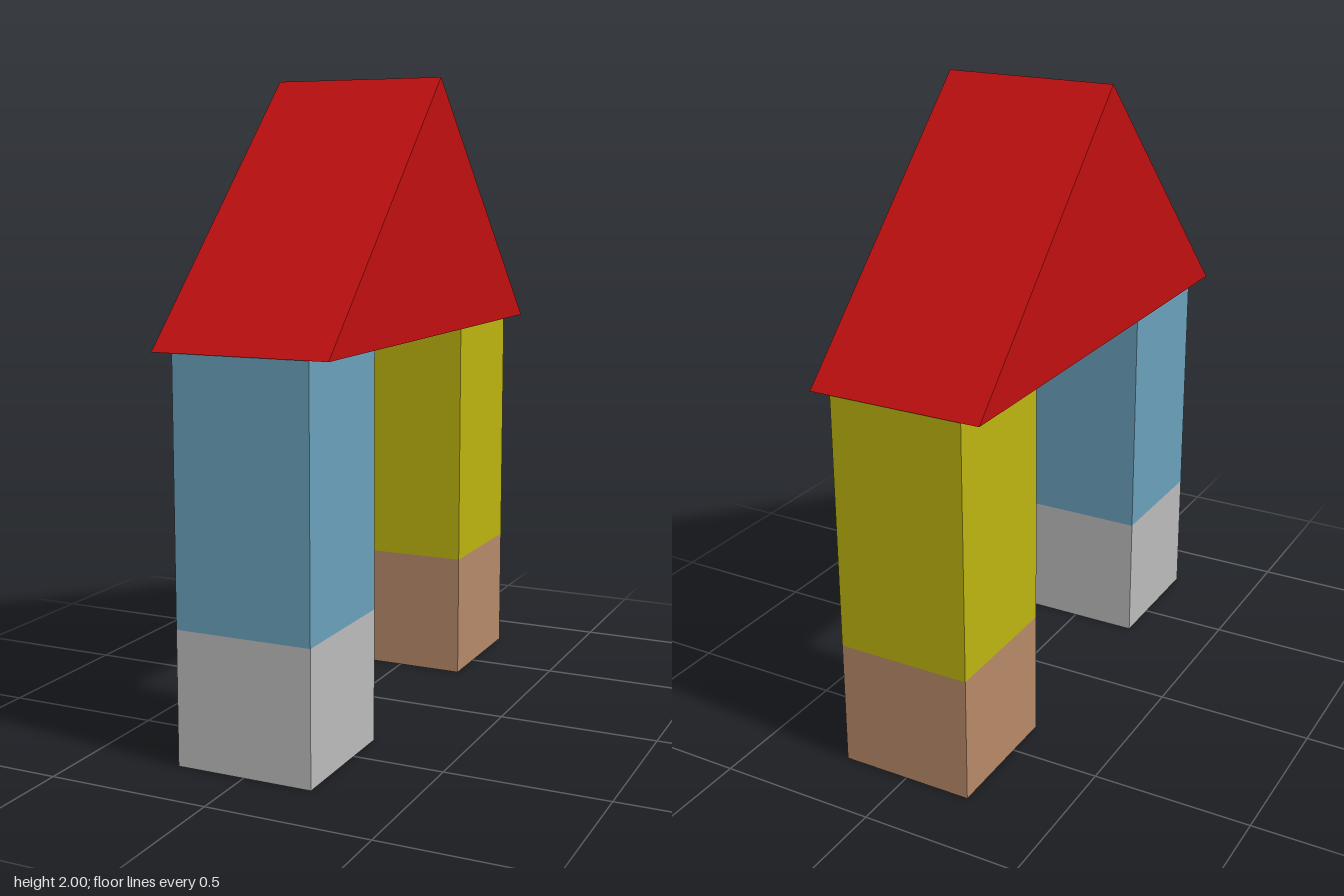
import * as THREE from 'three';

const paint = (name, color) => Object.assign(new THREE.MeshStandardMaterial({ color }), { name });

export function createModel() {
  const red = paint('roof red', 0xc00f0f);
  const blue = paint('post blue', 0x699fba);
  const yellow = paint('post yellow', 0xbcb310);
  const grey = paint('base grey', 0xbababa);
  const brown = paint('base brown', 0xb68968);

  const model = new THREE.Group();
  model.name = 'blockArch';

  const WIDTH = 0.43, POST_Z = 0.567, EAVE = 1.21;

  // Block standing between two heights
  const block = (name, y0, y1, z, material) => {
    const mesh = new THREE.Mesh(new THREE.BoxGeometry(WIDTH, y1 - y0, WIDTH), material);
    mesh.name = name;
    mesh.position.set(0, (y0 + y1) / 2, z);
    model.add(mesh);
  };

  // Front and back legs: a base block with a taller post on top
  block('frontBase', 0, 0.41, POST_Z, grey);
  block('frontPost', 0.41, EAVE, POST_Z, blue);
  // The back base is brown with a grey underside (box face order: +x -x +y -y +z -z)
  block('backBase', 0, 0.4, -POST_Z, [brown, brown, brown, grey, brown, brown]);
  block('backPost', 0.4, EAVE, -POST_Z, yellow);

  // Triangular roof prism, its ridge running along x
  const gable = new THREE.Shape([
    new THREE.Vector2(-0.79, EAVE),
    new THREE.Vector2(0.79, EAVE),
    new THREE.Vector2(0, 2),
  ]);
  const prism = new THREE.ExtrudeGeometry(gable, { depth: 0.555, bevelEnabled: false });
  prism.translate(0, 0, -0.2775).rotateY(Math.PI / 2);
  const roof = new THREE.Mesh(prism, red);
  roof.name = 'roof';
  model.add(roof);

  return model;
}
